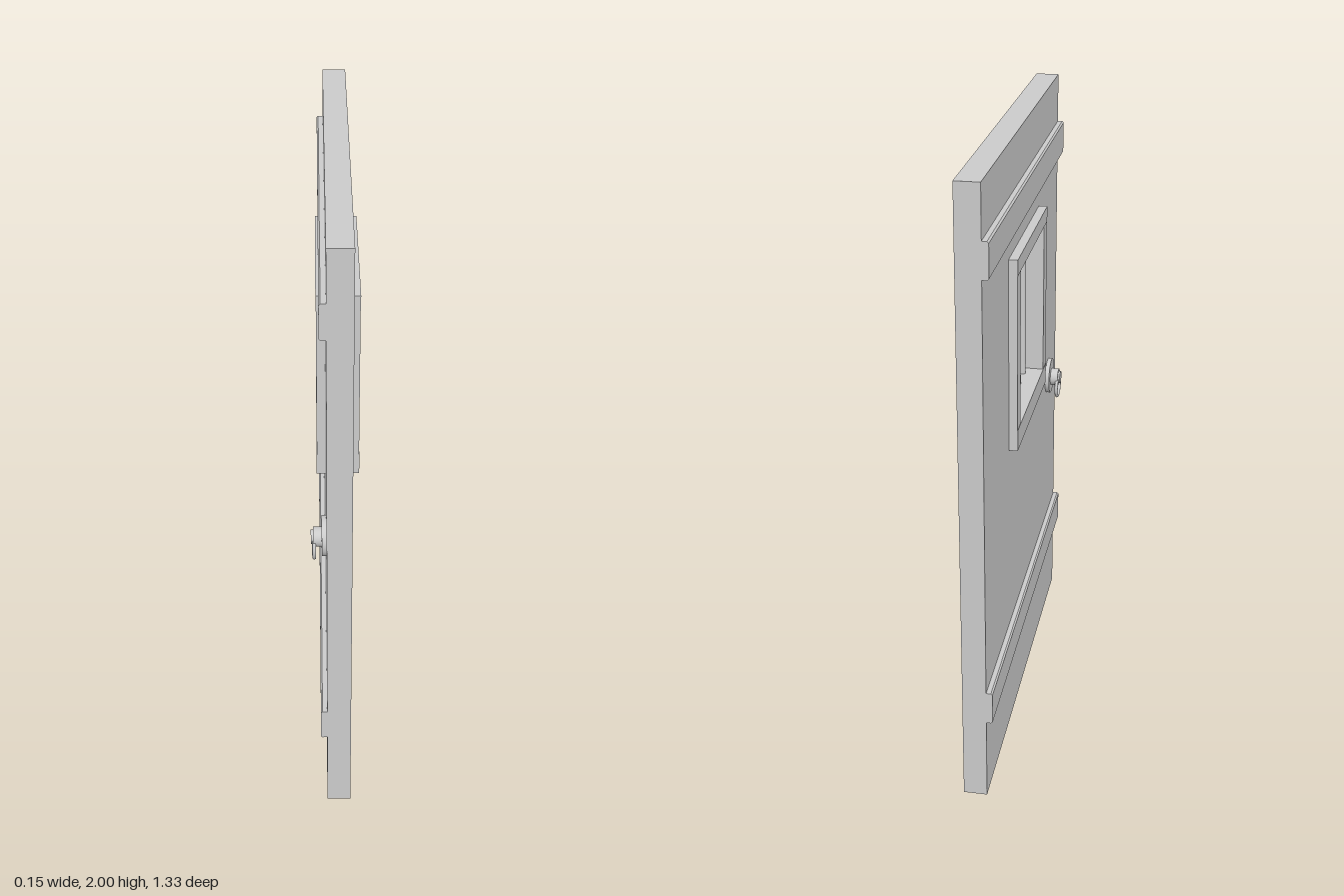
import * as THREE from 'three';

const material = new THREE.MeshStandardMaterial({ color: 0xcccccc });

function add(parent, name, geometry, x = 0, y = 0, z = 0) {
  const mesh = new THREE.Mesh(geometry, material);
  mesh.name = name;
  mesh.position.set(x, y, z);
  parent.add(mesh);
  return mesh;
}

// Box given by its limits on each axis
function box(parent, name, [x0, x1], [y0, y1], [z0, z1]) {
  return add(parent, name, new THREE.BoxGeometry(x1 - x0, y1 - y0, z1 - z0),
    (x0 + x1) / 2, (y0 + y1) / 2, (z0 + z1) / 2);
}

function rectangle(PathType, x0, x1, y0, y1) {
  return new PathType([[x0, y0], [x1, y0], [x1, y1], [x0, y1]].map(p => new THREE.Vector2(...p)));
}

export function createModel() {
  const door = new THREE.Group();
  door.name = 'barredDoor';

  // Slab with the window cut through its thickness
  const outline = rectangle(THREE.Shape, -0.665, 0.665, 0, 2);
  outline.holes.push(rectangle(THREE.Path, -0.217, 0.217, 1.1, 1.605));
  const slab = new THREE.ExtrudeGeometry(outline, { depth: 0.075, bevelEnabled: false });
  slab.rotateY(Math.PI / 2);
  add(door, 'doorPanel', slab, -0.03);

  // Cross battens on the inner face, with slightly chamfered edges
  for (const [name, y] of [['lowerBatten', 0.28], ['upperBatten', 1.73]]) {
    const profile = new THREE.Shape([[0, 0], [0, 0.11], [-0.015, 0.11], [-0.02, 0.105], [-0.02, 0.005], [-0.015, 0]]
      .map(p => new THREE.Vector2(...p)));
    const batten = new THREE.ExtrudeGeometry(profile, { depth: 1.33, bevelEnabled: false });
    add(door, name, batten, -0.03, y, -0.665);
  }

  // Window frame standing proud of both faces
  const frame = new THREE.Group();
  frame.name = 'windowFrame';
  door.add(frame);
  box(frame, 'topRail', [-0.058, 0.075], [1.605, 1.655], [-0.272, 0.272]);
  box(frame, 'sill', [-0.058, 0.075], [1.03, 1.1], [-0.272, 0.272]);
  for (const side of [-1, 1]) {
    box(frame, 'stile', [-0.057, 0.074], [1.1, 1.605], [side * 0.2445 - 0.0275, side * 0.2445 + 0.0275]);
  }

  // Window bars, one of them bent out of line: [bottom z, top z]
  for (const [z0, z1] of [[0.175, 0.175], [0.082, 0.042], [-0.05, -0.05], [-0.162, -0.162]]) {
    const length = Math.hypot(0.52, z1 - z0);
    const bar = add(door, 'windowBar', new THREE.CylinderGeometry(0.013, 0.013, length, 16), 0.008, 1.3525, (z0 + z1) / 2);
    bar.rotation.x = Math.atan2(z1 - z0, 0.52);
  }

  // Round backplate, hub and hanging pull ring
  const handle = new THREE.Group();
  handle.name = 'ringHandle';
  handle.position.set(-0.03, 0.957, 0.495);
  door.add(handle);
  const disc = (name, radius, x0, x1, y) => {
    const geometry = new THREE.CylinderGeometry(radius, radius, x0 - x1, 24);
    geometry.rotateZ(Math.PI / 2);
    add(handle, name, geometry, (x0 + x1) / 2, y, 0);
  };
  disc('backplate', 0.062, 0, -0.014, 0);
  disc('hub', 0.03, -0.014, -0.04, -0.004);
  disc('hubCap', 0.022, -0.04, -0.047, -0.004);
  const ring = new THREE.TorusGeometry(0.037, 0.006, 8, 28);
  ring.rotateY(Math.PI / 2);
  add(handle, 'pullRing', ring, -0.037, -0.038, 0);

  return door;
}
